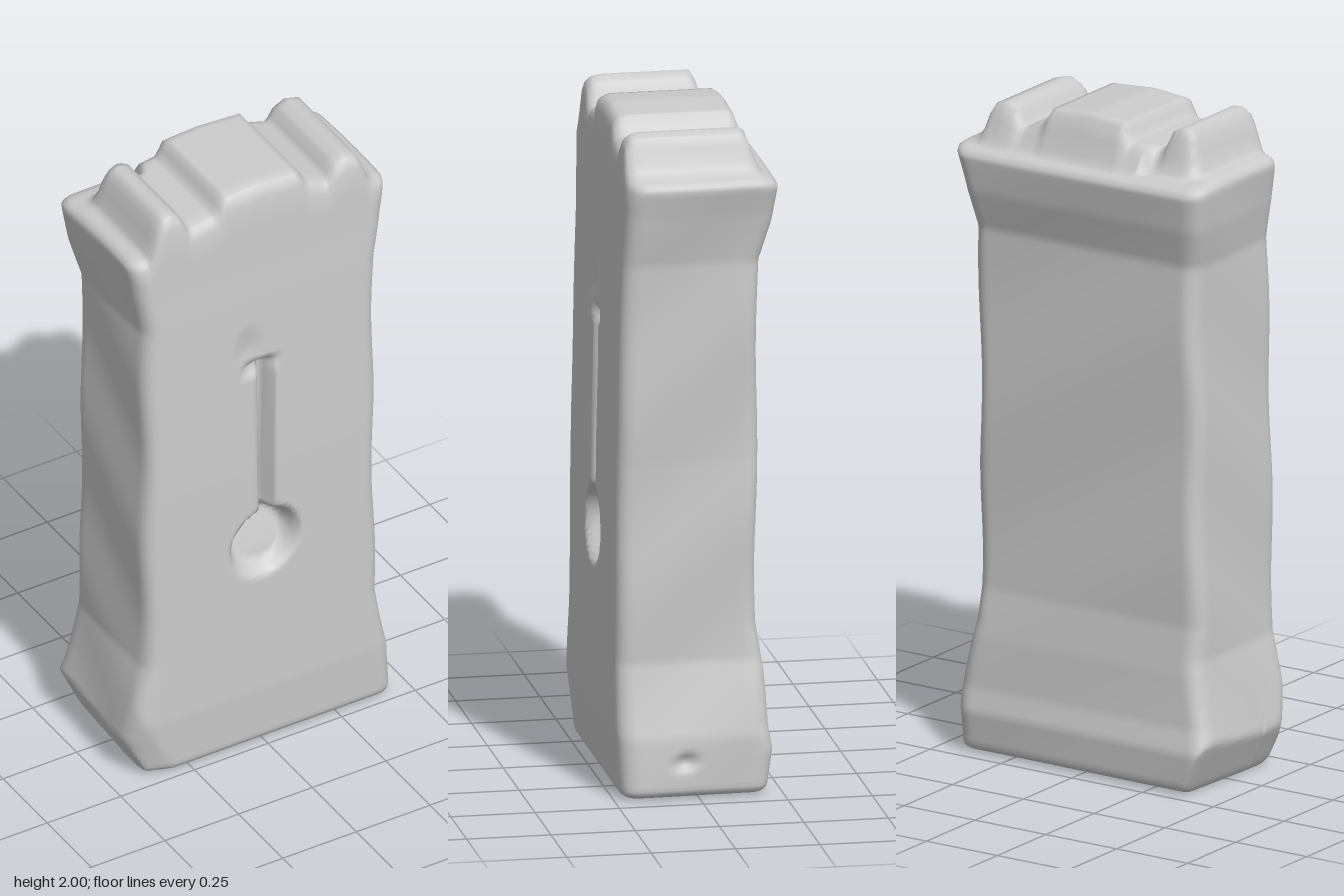
import * as THREE from 'three';
import { mergeVertices } from 'three/addons/utils/BufferGeometryUtils.js';

const { lerp, clamp, smoothstep } = THREE.MathUtils;

// Piecewise linear lookup in a list of [position, value] pairs
function sample(points, t) {
  if (t <= points[0][0]) return points[0][1];
  for (let i = 1; i < points.length; i++) {
    const [a, va] = points[i - 1], [b, vb] = points[i];
    if (t <= b) return lerp(va, vb, (t - a) / (b - a));
  }
  return points[points.length - 1][1];
}

// Outline of the block at each height
const LEFT_EDGE = [[0, 0.44], [0.18, 0.435], [0.4, 0.39], [1.0, 0.385], [1.6, 0.395], [1.75, 0.42], [1.86, 0.445]];
const RIGHT_EDGE = [[0, -0.44], [0.14, -0.45], [0.22, -0.435], [0.4, -0.4], [1.0, -0.395], [1.6, -0.39], [1.72, -0.415], [1.86, -0.435]];
const FRONT = [[0, 0.23], [0.2, 0.24], [1.0, 0.233], [1.6, 0.22], [1.8, 0.212], [1.86, 0.2]];
const BACK = [[0, -0.21], [0.13, -0.225], [0.2, -0.21], [0.36, -0.2], [0.5, -0.182], [1.6, -0.188], [1.72, -0.222], [1.83, -0.24], [1.86, -0.22]];

// Battlement heights across the top
const CROWN = [[-0.43, 1.86], [-0.37, 1.87], [-0.345, 1.95], [-0.325, 1.99], [-0.295, 2.0], [-0.26, 1.98],
  [-0.235, 1.925], [-0.14, 1.94], [-0.115, 1.99], [0, 2.0], [0.14, 1.99], [0.165, 1.945], [0.235, 1.92],
  [0.26, 1.965], [0.3, 1.985], [0.345, 1.97], [0.37, 1.89], [0.4, 1.865], [0.44, 1.86]];

// Depth of the keyhole-shaped arrow slit in the front
function slitDepth(x, y) {
  const round = 1 - smoothstep(Math.hypot(x, y - 0.725), 0.085, 0.12);
  const bowl = round * (0.045 + 0.045 * smoothstep(y, 0.62, 0.84));
  const along = smoothstep(y, 0.78, 0.84) * (1 - smoothstep(y, 1.35, 1.39));
  const groove = 0.06 * along * smoothstep(x, -0.025, 0.008) * (1 - smoothstep(x, 0.014, 0.036));
  const nick = 0.035 * Math.max(0, 1 - Math.abs(x + 0.01) / 0.07) * smoothstep(y, 1.33, 1.36) * (1 - smoothstep(y, 1.365, 1.39));
  const scar = 0.014 * Math.max(0, 1 - Math.hypot((x + 0.05) / 0.05, (y - 1.43) / 0.09));
  return Math.max(bowl, groove, nick) + scar;
}

// Rounded, worn block: a fine box whose vertices follow the outlines above
function makeTower() {
  const H = 1.86, half = [0.4, H / 2, 0.21], radius = [0.05, 0.025, 0.05];
  let geo = new THREE.BoxGeometry(0.8, H, 0.42, 66, 130, 26);
  geo.deleteAttribute('normal');
  geo.deleteAttribute('uv');
  geo = mergeVertices(geo);
  const pos = geo.attributes.position;
  for (let i = 0; i < pos.count; i++) {
    // Round the edges
    const p = [pos.getX(i), pos.getY(i), pos.getZ(i)];
    const core = p.map((v, k) => clamp(v, radius[k] - half[k], half[k] - radius[k]));
    const d = p.map((v, k) => (v - core[k]) / radius[k]);
    const len = Math.max(1, Math.hypot(...d));
    const r = p.map((v, k) => core[k] + d[k] / len * radius[k]);

    // Fit the outline
    let y = r[1] + H / 2;
    let x = lerp(sample(RIGHT_EDGE, y), sample(LEFT_EDGE, y), (r[0] + 0.4) / 0.8);
    let z = lerp(sample(BACK, y), sample(FRONT, y), (r[2] + 0.21) / 0.42);

    // Gentle wear on the sides and back
    x += 0.005 * Math.sin(y * 11 + z * 9) * (r[0] / 0.4) ** 4;
    if (z < 0) z += 0.004 * Math.sin(y * 9 + x * 5) * (r[2] / 0.21) ** 2;

    // Arrow slit
    if (r[2] > 0.2) z -= slitDepth(x, y);

    // Broken lower corner and a small chip on the other side
    const cut = Math.max(0, -x - 0.37 - y * 0.6 + Math.max(0, 0.1 - z) * 0.08);
    x += cut * 0.75;
    if (z > 0.1 && y < 0.25) z -= 0.35 * Math.max(0, -x - 0.3 - y * 0.5);
    if (x > 0.38) x -= 0.025 * Math.max(0, 1 - Math.hypot((z - 0.04) / 0.045, (y - 0.11) / 0.03));

    // Battlements, fading into a ledge at the back
    const backEdge = x < -0.2 ? -0.125 : -0.165;
    const rise = (sample(CROWN, x) - H) * smoothstep(z, backEdge - 0.04, backEdge + 0.02);
    y += rise * smoothstep(y, 1.72, H);
    pos.setXYZ(i, x, y, z);
  }
  geo.computeVertexNormals();
  return geo;
}

export function createModel() {
  const group = new THREE.Group();
  group.name = 'stoneTower';
  const tower = new THREE.Mesh(makeTower(), new THREE.MeshStandardMaterial({ color: 0xcccccc }));
  tower.name = 'towerBody';
  group.add(tower);
  return group;
}
